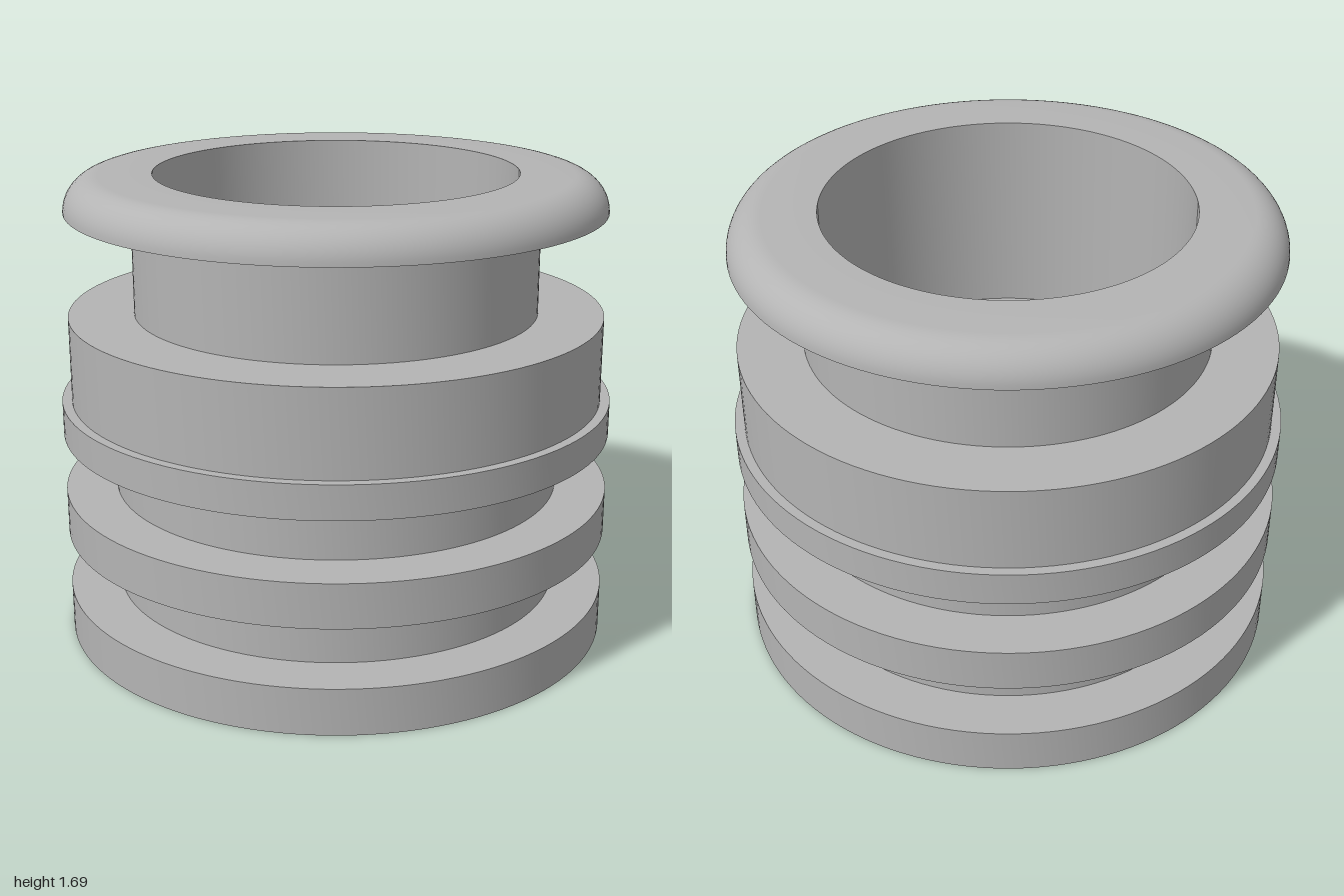
import * as THREE from 'three';
import { toCreasedNormals } from 'three/addons/utils/BufferGeometryUtils.js';

const SEGMENTS = 128;

export function createModel() {
  const model = new THREE.Group();
  model.name = 'ribbedStopper';
  const grey = new THREE.MeshStandardMaterial({ color: 0xb4b4b4 });
  grey.name = 'grey';

  // Revolves one stretch of the wall; [radius, height] points run up the
  // outside and down the inside, so faces point away from the solid.
  function addTurned(name, profile) {
    const points = profile.map(([r, y]) => new THREE.Vector2(r, y));
    const geometry = toCreasedNormals(new THREE.LatheGeometry(points, SEGMENTS), 0.6);
    const mesh = new THREE.Mesh(geometry, grey);
    mesh.name = name;
    model.add(mesh);
  }

  const CORE = 0.815, RIB = 1, NECK = 0.73, BORE = 0.65;
  const CAVITY = 0.735, TUBE_OUT = 0.49, TUBE_IN = 0.41;
  const CEILING = 0.86, LEDGE = 0.93, TUBE_END = 0.25;

  // Base rib, including the underside rim
  addTurned('baseRib', [[CAVITY, 0], [RIB, 0], [RIB, 0.17], [CORE, 0.17]]);

  // Grooved core with the middle rib
  addTurned('lowerGroove', [[CORE, 0.17], [CORE, 0.385]]);
  addTurned('middleRib', [[CORE, 0.385], [RIB, 0.385], [RIB, 0.545], [CORE, 0.545]]);
  addTurned('upperGroove', [[CORE, 0.545], [CORE, 0.76]]);

  // Upper rib stepping in to the tall collar
  addTurned('upperRib', [[CORE, 0.76], [RIB, 0.76], [RIB, 0.882], [0.965, 0.882]]);
  addTurned('collar', [[0.965, 0.882], [0.965, 1.19], [NECK, 1.19]]);
  addTurned('neck', [[NECK, 1.19], [NECK, 1.567]]);

  // Top lip with a quarter-round outer edge
  const lip = [[NECK, 1.567], [0.965, 1.567]];
  for (let i = 1; i <= 12; i++) {
    const a = (i / 12) * Math.PI / 2;
    lip.push([0.84 + 0.125 * Math.cos(a), 1.567 + 0.123 * Math.sin(a)]);
  }
  lip.push([BORE, 1.69]);
  addTurned('roundedLip', lip);

  // Wide upper bore down to its inner ledge
  addTurned('upperBore', [[BORE, 1.69], [BORE, LEDGE], [TUBE_IN, LEDGE]]);

  // Narrow tube hanging inside the lower cavity
  addTurned('innerTube', [[TUBE_IN, LEDGE], [TUBE_IN, TUBE_END], [TUBE_OUT, TUBE_END], [TUBE_OUT, CEILING]]);
  addTurned('lowerCavity', [[TUBE_OUT, CEILING], [CAVITY, CEILING], [CAVITY, 0]]);

  return model;
}
